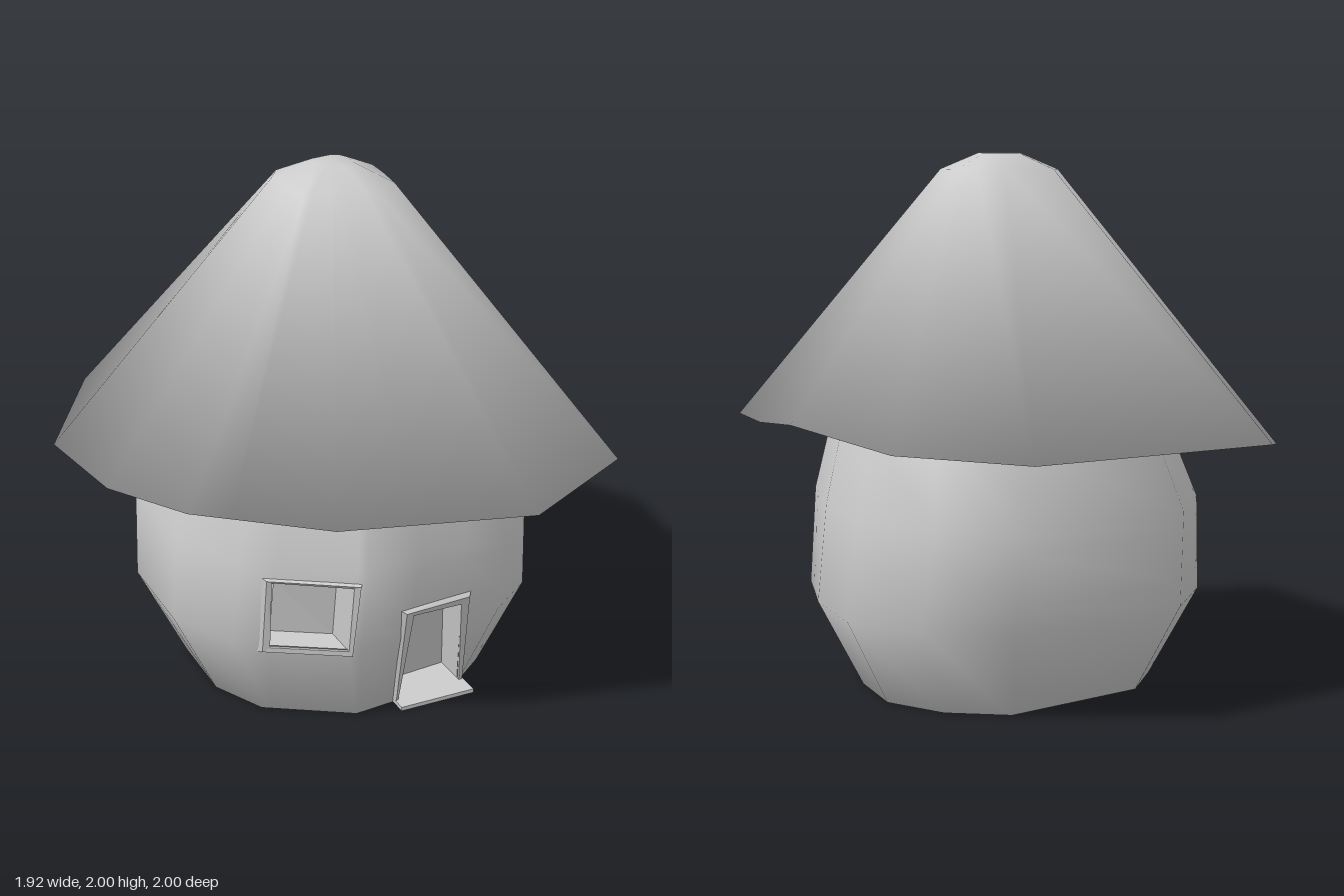
import * as THREE from 'three';

// Corners of the plan, back -> right -> front -> left:
// roof rim [x, height, z] and widest outline of the wall [x, z]
const PLAN = [
  { rim: [0.32, 0.99, -1], wall: [0.23, -0.72] },
  { rim: [0.76, 1.03, -0.84], wall: [0.5, -0.55] },
  { rim: [0.96, 1.08, -0.38], wall: [0.68, -0.27] },
  { rim: [0.92, 1.02, 0.13], wall: [0.68, 0.1] },
  { rim: [0.83, 0.97, 0.74], wall: [0.6, 0.48] },
  { rim: [0.34, 0.965, 1], wall: [0.42, 0.63] },
  { rim: [-0.36, 0.985, 0.85], wall: [-0.16, 0.69] },
  { rim: [-0.83, 1.075, 0.68], wall: [-0.55, 0.43] },
  { rim: [-0.95, 0.98, 0.2], wall: [-0.68, 0.145] },
  { rim: [-0.96, 0.9, -0.4], wall: [-0.68, -0.285] },
  { rim: [-0.7, 0.97, -0.8], wall: [-0.48, -0.55] },
];

// Wall profile: scale and shift of the outline at each height
const WALL = [
  { y: 0, sx: 0.79, sz: 0.73, dx: 0.01, dz: 0.01 },
  { y: 0.34, sx: 1.04, sz: 0.925, dx: 0.02, dz: -0.025 },
  { y: 0.7, sx: 1, sz: 1, dx: 0, dz: 0 },
  { y: 1.0, sx: 0.87, sz: 0.85, dx: 0.03, dz: -0.01 },
  { y: 1.15, sx: 0.79, sz: 0.77, dx: 0.02, dz: 0 },
];

// Row at any height; blend tells how far it lies between two profile rows
function wallRow(y) {
  let i = 0;
  while (i < WALL.length - 2 && y > WALL[i + 1].y) i++;
  const a = WALL[i], b = WALL[i + 1], t = (y - a.y) / (b.y - a.y);
  const mix = (k) => a[k] + (b[k] - a[k]) * t;
  return { y, sx: mix('sx'), sz: mix('sz'), dx: mix('dx'), dz: mix('dz'), blend: t };
}

// A plan corner on a wall row or a roof row
function corner(c, r) {
  if (r.roof === undefined) return [c.wall[0] * r.sx + r.dx, r.y, c.wall[1] * r.sz + r.dz];
  return [c.rim[0] * r.roof + r.dx, r.y ?? c.rim[1], c.rim[2] * r.roof];
}

const lerp = (a, b, t) => a.map((v, i) => v + (b[i] - v) * t);

// Extra column on the wall between two corners, following x(y) up to the widest row
function sideColumn(from, to, x) {
  const a = PLAN[from], b = PLAN[to];
  const fraction = (v, p, q) => (v - p) / (q - p);
  const upper = fraction(x(0.7), a.wall[0], b.wall[0]);
  return {
    at(r) {
      const A = corner(a, r), B = corner(b, r);
      const onWall = r.roof === undefined && r.y <= 0.7 && r.sx > 0;
      return lerp(A, B, onWall ? fraction(x(r.y), A[0], B[0]) : upper);
    },
  };
}

// Point on the front wall
function frontPoint(x, y) {
  const pts = PLAN.slice(4, 8).map((c) => corner(c, wallRow(y)));
  let i = 0;
  while (i < 2 && x < pts[i + 1][0]) i++;
  return lerp(pts[i], pts[i + 1], (x - pts[i][0]) / (pts[i + 1][0] - pts[i][0]));
}

// Skin the rows; split at one row into two geometries that share smooth normals
function loft(cols, rows, split, isHole) {
  const points = rows.flatMap((r) => cols.map((c) => new THREE.Vector3(...(c.at ? c.at(r) : corner(c, r)))));
  const normals = points.map(() => new THREE.Vector3());
  const n = cols.length, parts = [[], []];
  const triangle = (part, ...ids) => {
    const [a, b, c] = ids.map((i) => points[i]);
    const normal = b.clone().sub(a).cross(c.clone().sub(a)).normalize();
    ids.forEach((i) => normals[i].add(normal));
    part.push(...ids);
  };
  for (let j = 0; j < rows.length - 1; j++) {
    for (let i = 0; i < n; i++) {
      if (isHole(cols[i], rows[j], rows[j + 1])) continue;
      const a = j * n + i, b = j * n + ((i + 1) % n), part = parts[j < split ? 0 : 1];
      triangle(part, a, a + n, b + n);
      triangle(part, a, b + n, b);
    }
  }
  normals.forEach((v) => v.normalize());
  // Rows between two profile rows take blended normals
  const isBetween = (r) => r.blend > 0 && r.blend < 1;
  rows.forEach((r, j) => {
    if (!isBetween(r)) return;
    let low = j, high = j;
    while (isBetween(rows[low])) low--;
    while (isBetween(rows[high])) high++;
    for (let i = 0; i < n; i++) {
      normals[j * n + i].lerpVectors(normals[low * n + i], normals[high * n + i], r.blend).normalize();
    }
  });
  return parts.map((index) => {
    const g = new THREE.BufferGeometry().setFromPoints(points);
    g.setAttribute('normal', new THREE.Float32BufferAttribute(normals.flatMap((v) => v.toArray()), 3));
    return g.setIndex(index);
  });
}

// Bevelled frame with a recess; corners run top left, bottom left, bottom right, top right
function opening(outer, inner, depth) {
  const loop = (pts, dz) => pts.map(([x, y]) => [x, y, frontPoint(x, y)[2] + dz]);
  const middle = outer.map((p, i) => lerp(p, inner[i], 0.4));
  const loops = [loop(outer, -0.01), loop(middle, 0.018), loop(inner, 0.012), loop(inner, -depth)];
  const pos = [];
  const quad = (a, b, c, d) => pos.push(...a, ...b, ...c, ...a, ...c, ...d);
  for (let k = 0; k < 3; k++) {
    for (let i = 0; i < 4; i++) {
      const m = (i + 1) % 4;
      quad(loops[k][i], loops[k][m], loops[k + 1][m], loops[k + 1][i]);
    }
  }
  quad(...loops[3]);
  const g = new THREE.BufferGeometry();
  g.setAttribute('position', new THREE.Float32BufferAttribute(pos, 3));
  g.computeVertexNormals();
  return g;
}

export function createModel() {
  const group = new THREE.Group();
  const material = new THREE.MeshStandardMaterial({ color: 0xcccccc, side: THREE.DoubleSide });
  const add = (name, geometry) => {
    const mesh = new THREE.Mesh(geometry, material);
    mesh.name = name;
    group.add(mesh);
  };

  // Wall columns along the sides of the door and window
  const doorRight = sideColumn(5, 6, (y) => 0.335 - 0.15 * Math.min(y, 0.43));
  const doorLeft = sideColumn(5, 6, () => 0.06);
  const windowRight = sideColumn(6, 7, () => -0.19);
  const windowLeft = sideColumn(6, 7, (y) => -0.4 - 0.04 * Math.min(y / 0.34, 1));
  const cols = [
    ...PLAN.slice(0, 6), doorRight, doorLeft, PLAN[6], windowRight, windowLeft, ...PLAN.slice(7),
  ];
  const isHole = (c, low, high) =>
    (c === doorRight && low.sx > 0 && high.y <= 0.43) ||
    (c === windowRight && low.y >= 0.34 && high.y <= 0.63);

  // Body: base, bulging wall and roof underside; roof: cone with a small rounded tip
  const wallRows = [0, 0.34, 0.43, 0.63, 0.7, 1.0, 1.15].map(wallRow);
  const rows = [
    { y: 0, sx: 0, sz: 0, dx: 0, dz: 0 },
    ...wallRows,
    { roof: 1, dx: 0 },
    { roof: 0.21, y: 1.94, dx: 0.02 },
    { roof: 0.075, y: 2, dx: 0.02 },
    { roof: 0, y: 2, dx: 0.02 },
  ];
  const [body, roof] = loft(cols, rows, wallRows.length + 1, isHole);
  add('body', body);
  add('roof', roof);

  // Door with its step, and window
  add('door', opening(
    [[0, 0.475], [0.04, 0], [0.36, 0], [0.32, 0.475]],
    [[0.06, 0.44], [0.06, 0.015], [0.335, 0.015], [0.27, 0.425]], 0.13));
  add('doorstep', new THREE.BoxGeometry(0.31, 0.016, 0.1).translate(0.2, 0.008, 0.52));
  add('window', opening(
    [[-0.48, 0.645], [-0.48, 0.3], [-0.17, 0.3], [-0.17, 0.65]],
    [[-0.45, 0.63], [-0.44, 0.335], [-0.19, 0.335], [-0.2, 0.63]], 0.13));

  return group;
}
